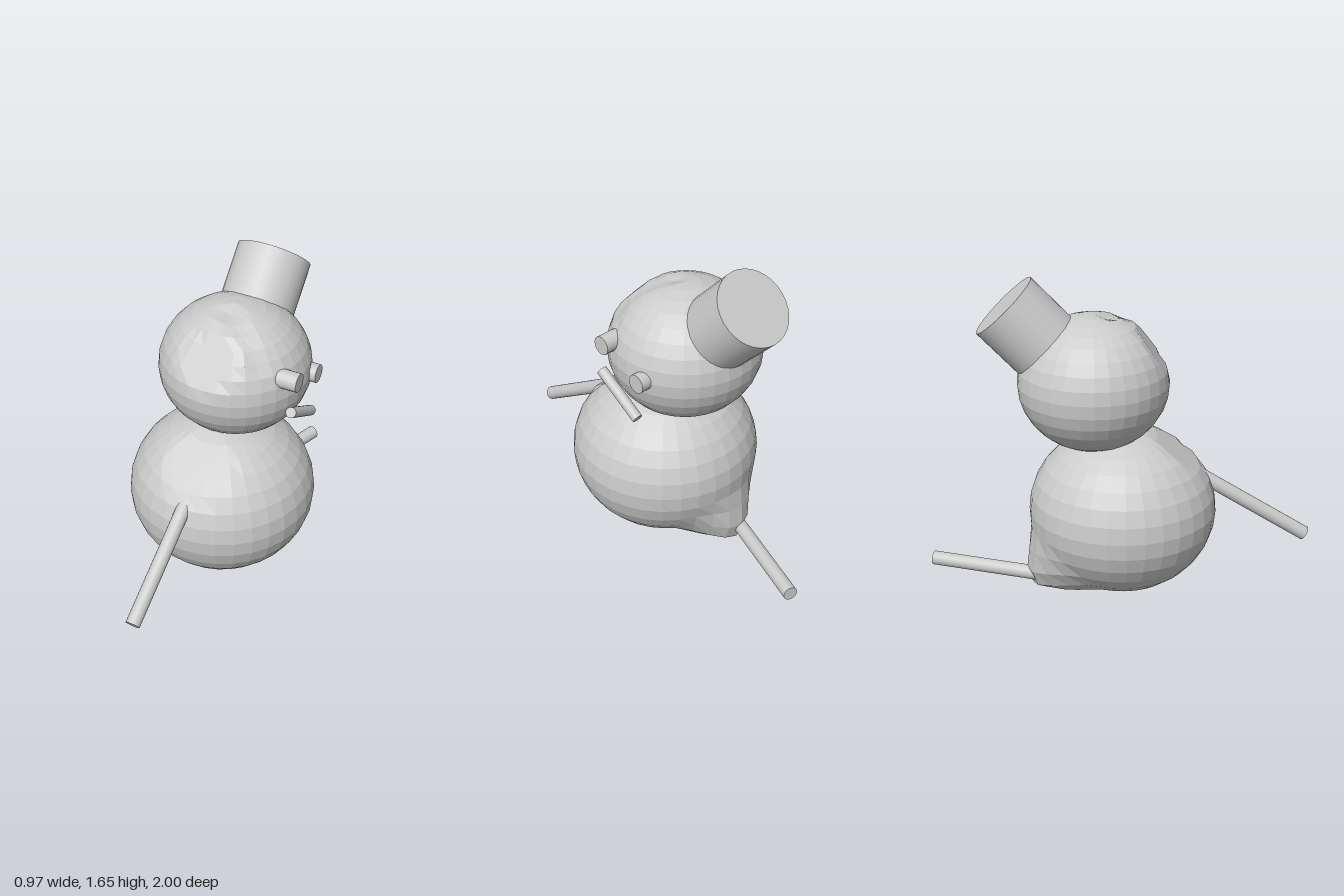
import * as THREE from 'three';

const V = (x, y, z) => new THREE.Vector3(x, y, z);

export function createModel() {
  const group = new THREE.Group();
  const flat = new THREE.MeshStandardMaterial({ color: 0xcccccc, flatShading: true });
  const smooth = new THREE.MeshStandardMaterial({ color: 0xcccccc });

  const add = (name, geometry, material) => {
    const mesh = new THREE.Mesh(geometry, material);
    mesh.name = name;
    group.add(mesh);
    return mesh;
  };

  // Faceted ellipsoid whose vertices are moved by a sculpting rule
  const ball = (name, centre, radii, sculpt) => {
    const g = new THREE.SphereGeometry(1, 32, 16);
    g.scale(radii.x, radii.y, radii.z);
    g.translate(centre.x, centre.y, centre.z);
    const pos = g.attributes.position;
    const p = V(0, 0, 0);
    for (let i = 0; i < pos.count; i++) {
      sculpt(p.fromBufferAttribute(pos, i));
      pos.setXYZ(i, p.x, p.y, p.z);
    }
    g.computeVertexNormals();
    return add(name, g, flat);
  };

  // Press points beyond a plane back onto it
  const flatten = (p, normal, limit) => {
    const over = p.dot(normal) - limit;
    if (over > 0) p.addScaledVector(normal, -over);
  };

  // Cylinder running between two points
  const rod = (name, a, b, radius, segments = 20) => {
    const mesh = add(name, new THREE.CylinderGeometry(radius, radius, a.distanceTo(b), segments), smooth);
    mesh.position.copy(a).lerp(b, 0.5);
    mesh.quaternion.setFromUnitVectors(V(0, 1, 0), b.clone().sub(a).normalize());
    return mesh;
  };

  // Body: pressed flat above the front arm, drawn out around the rear arm
  const chestNormal = V(0, 0.814, 0.581).normalize();
  const bulgeCentre = V(-0.08, 0.13, -0.31);
  const bulgePush = V(0, -0.09, -0.14);
  ball('body', V(0, 0.44, 0.02), V(0.485, 0.435, 0.485), (p) => {
    flatten(p, chestNormal, 0.788);
    const t = p.distanceTo(bulgeCentre) / 0.3;
    if (t < 1) {
      p.addScaledVector(bulgePush, 1 - t * t * (3 - 2 * t));
      p.y = Math.max(p.y, 0.03);
    }
  });

  // Head: flattened brow with a shallow fold running towards the front eye
  const browNormal = V(0, 0.579, 0.816).normalize();
  const fold = new THREE.Line3(V(0, 1.46, -0.05), V(0.22, 1.29, 0.07));
  const headCentre = V(0, 1.125, -0.127);
  const nearest = V(0, 0, 0);
  ball('head', headCentre, V(0.39, 0.35, 0.385), (p) => {
    flatten(p, browNormal, 0.886);
    fold.closestPointToPoint(p, true, nearest);
    const t = p.distanceTo(nearest) / 0.08;
    if (t < 1) p.lerp(headCentre, 0.07 * (1 - t));
  });

  // Hat, tipped backwards
  rod('hat', V(0, 1.23, -0.285), V(0, 1.522, -0.567), 0.193, 32);

  // Face on the left side of the head
  rod('frontEye', V(0.2, 1.225, 0.022), V(0.415, 1.225, 0.022), 0.048);
  rod('rearEye', V(0.2, 1.125, -0.222), V(0.415, 1.125, -0.222), 0.048);
  rod('mouth', V(0.39, 1.06, 0.053), V(0.39, 0.902, -0.202), 0.027);

  // Stick arms
  rod('frontArm', V(0, 0.61, 0.42), V(0, 0.265, 0.982), 0.037);
  rod('rearArm', V(-0.1, 0.105, -0.43), V(0.098, 0.105, -0.985), 0.037);

  return group;
}
